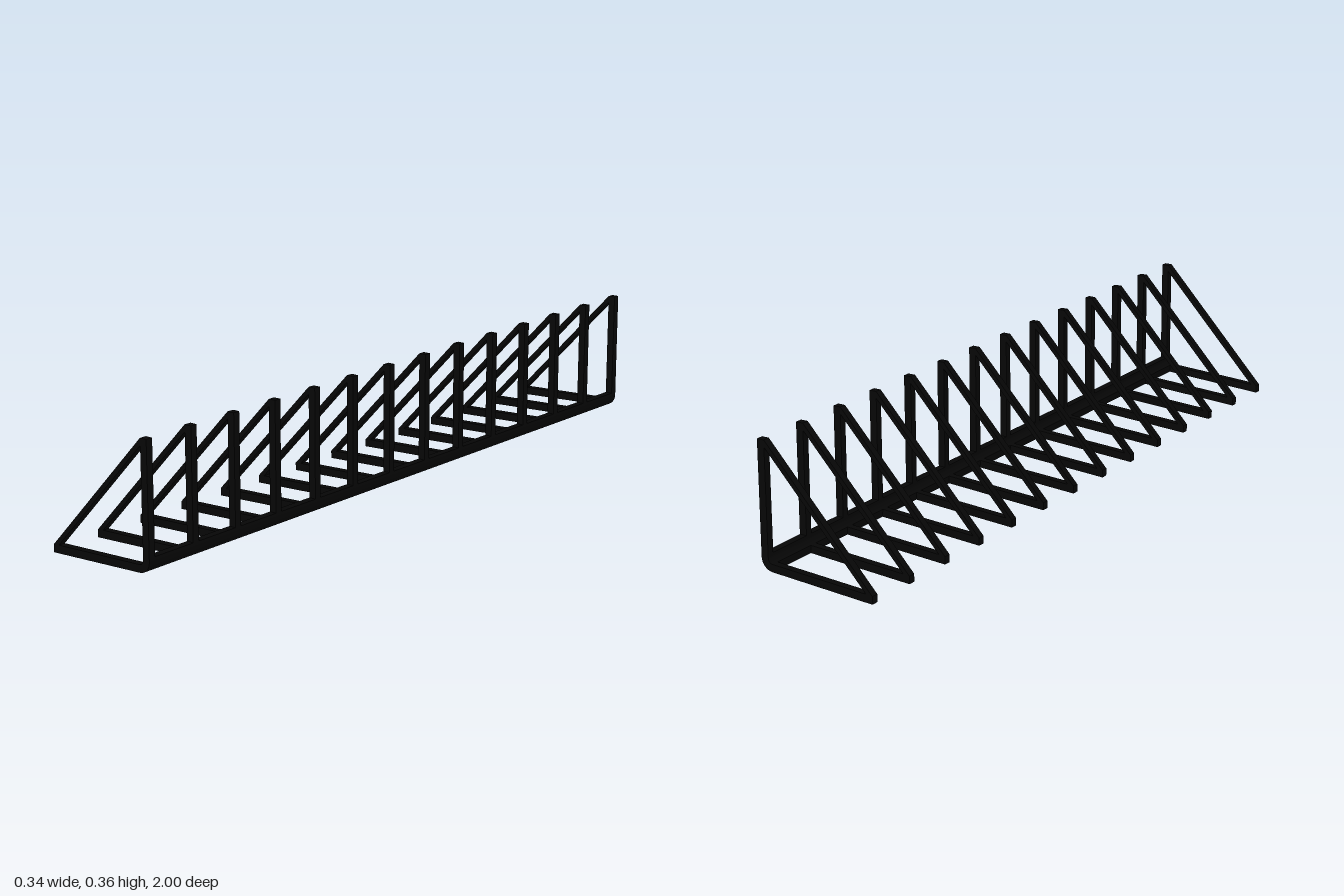
import * as THREE from 'three';
import { toCreasedNormals } from 'three/addons/utils/BufferGeometryUtils.js';

const RIBS = 14, LENGTH = 2, THICK = 0.02;
const BEND = { x: 0.135, y: 0.051, outer: 0.035, inner: 0.014 };
const START = -87 * Math.PI / 180; // the foot bar slopes slightly

function extrude(shape, depth) {
  const g = new THREE.ExtrudeGeometry(shape, { depth, bevelEnabled: false, curveSegments: 10 });
  g.translate(0, 0, -depth / 2);
  return toCreasedNormals(g, 0.5);
}

// Triangular bracket outline with a rounded corner and an open middle
function ribShape() {
  const s = new THREE.Shape();
  s.absarc(BEND.x, BEND.y, BEND.outer, START, 0, false);
  s.lineTo(0.17, 0.36);
  s.lineTo(0.149, 0.36);
  s.lineTo(-0.17, 0.021);
  s.lineTo(-0.17, 0);
  s.closePath();

  const hole = new THREE.Path();
  hole.absarc(BEND.x, BEND.y, BEND.inner, START, 0, false);
  hole.lineTo(0.149, 0.341);
  hole.lineTo(-0.151, 0.023);
  hole.closePath();
  s.holes.push(hole);
  return s;
}

// Curved strip that follows the inside and outside of the bend
function railShape() {
  const s = new THREE.Shape();
  s.absarc(BEND.x, BEND.y, BEND.outer, START, 0, false);
  s.lineTo(BEND.x + BEND.outer, 0.06);
  s.lineTo(BEND.x + BEND.inner, 0.06);
  s.absarc(BEND.x, BEND.y, BEND.inner, 0, START, true);
  s.closePath();
  return s;
}

export function createModel() {
  const model = new THREE.Group();
  model.name = 'bracketRack';
  const black = new THREE.MeshStandardMaterial({ color: 0x060606 });
  black.name = 'black';

  // Long corner rail joining all the brackets
  const rail = new THREE.Mesh(extrude(railShape(), LENGTH), black);
  rail.name = 'cornerRail';
  model.add(rail);

  // Evenly spaced triangular brackets
  const ribGeometry = extrude(ribShape(), THICK);
  const span = LENGTH - THICK;
  for (let i = 0; i < RIBS; i++) {
    const rib = new THREE.Mesh(ribGeometry, black);
    rib.name = `bracket${i + 1}`;
    rib.position.z = -span / 2 + span * i / (RIBS - 1);
    model.add(rib);
  }
  return model;
}
